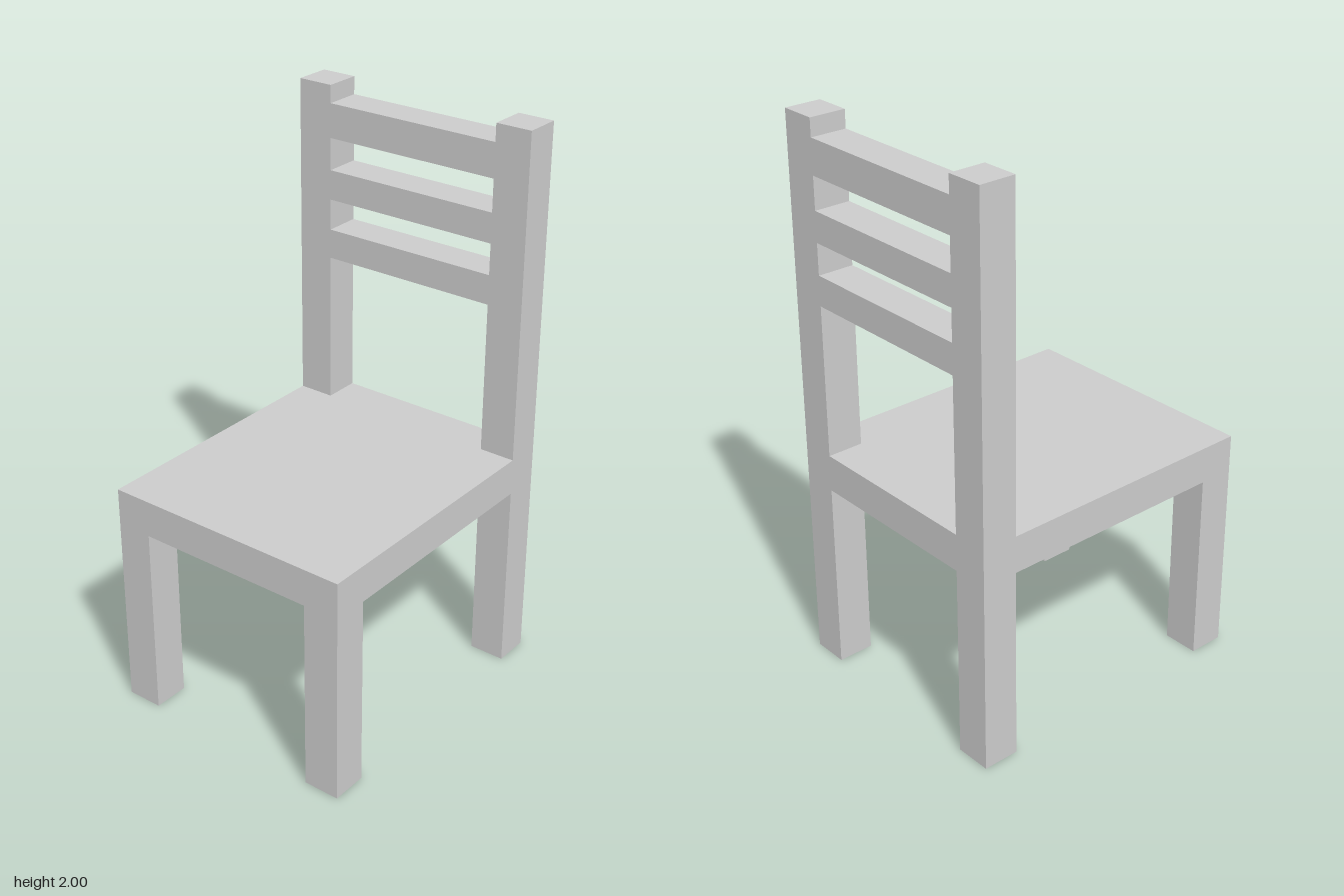
import * as THREE from 'three';

const W = 0.462;      // half width
const D = 0.554;      // half depth
const POST = 0.131;   // square section of legs and posts
const SEAT_BOTTOM = 0.698, SEAT_TOP = 0.83, HEIGHT = 2;

export function createModel() {
  const chair = new THREE.Group();
  chair.name = 'chair';
  const material = new THREE.MeshStandardMaterial({ color: 0xcccccc, flatShading: true });

  // Box given by its size, centre x and z, and bottom and top heights
  const addBox = (name, width, depth, x, z, y0, y1) => {
    const mesh = new THREE.Mesh(new THREE.BoxGeometry(width, y1 - y0, depth), material);
    mesh.name = name;
    mesh.position.set(x, (y0 + y1) / 2, z);
    chair.add(mesh);
  };

  const legX = W - POST / 2, legZ = D - POST / 2, inner = W - POST;

  // Front legs end under the seat; rear posts run up to form the back
  for (const [side, s] of [['left', 1], ['right', -1]]) {
    addBox(side + 'FrontLeg', POST, POST, s * legX, legZ, 0, SEAT_BOTTOM);
    addBox(side + 'BackPost', POST, POST, s * legX, -legZ, 0, HEIGHT);
  }

  // Seat slab, notched at the rear corners around the posts (shape y = -z)
  const outline = [
    [-W, -D], [W, -D], [W, D - POST], [inner, D - POST],
    [inner, D], [-inner, D], [-inner, D - POST], [-W, D - POST],
  ].map(([x, y]) => new THREE.Vector2(x, y));
  const seatGeometry = new THREE.ExtrudeGeometry(new THREE.Shape(outline), {
    depth: SEAT_TOP - SEAT_BOTTOM, bevelEnabled: false,
  });
  seatGeometry.rotateX(-Math.PI / 2);
  const seat = new THREE.Mesh(seatGeometry, material);
  seat.name = 'seat';
  seat.position.y = SEAT_BOTTOM;
  chair.add(seat);

  // Back slats between the posts, flush with them front and rear
  [['lowerSlat', 1.376, 1.482], ['middleSlat', 1.593, 1.7], ['topSlat', 1.815, 1.937]]
    .forEach(([name, y0, y1]) => addBox(name, inner * 2, POST, 0, -legZ, y0, y1));

  return chair;
}
